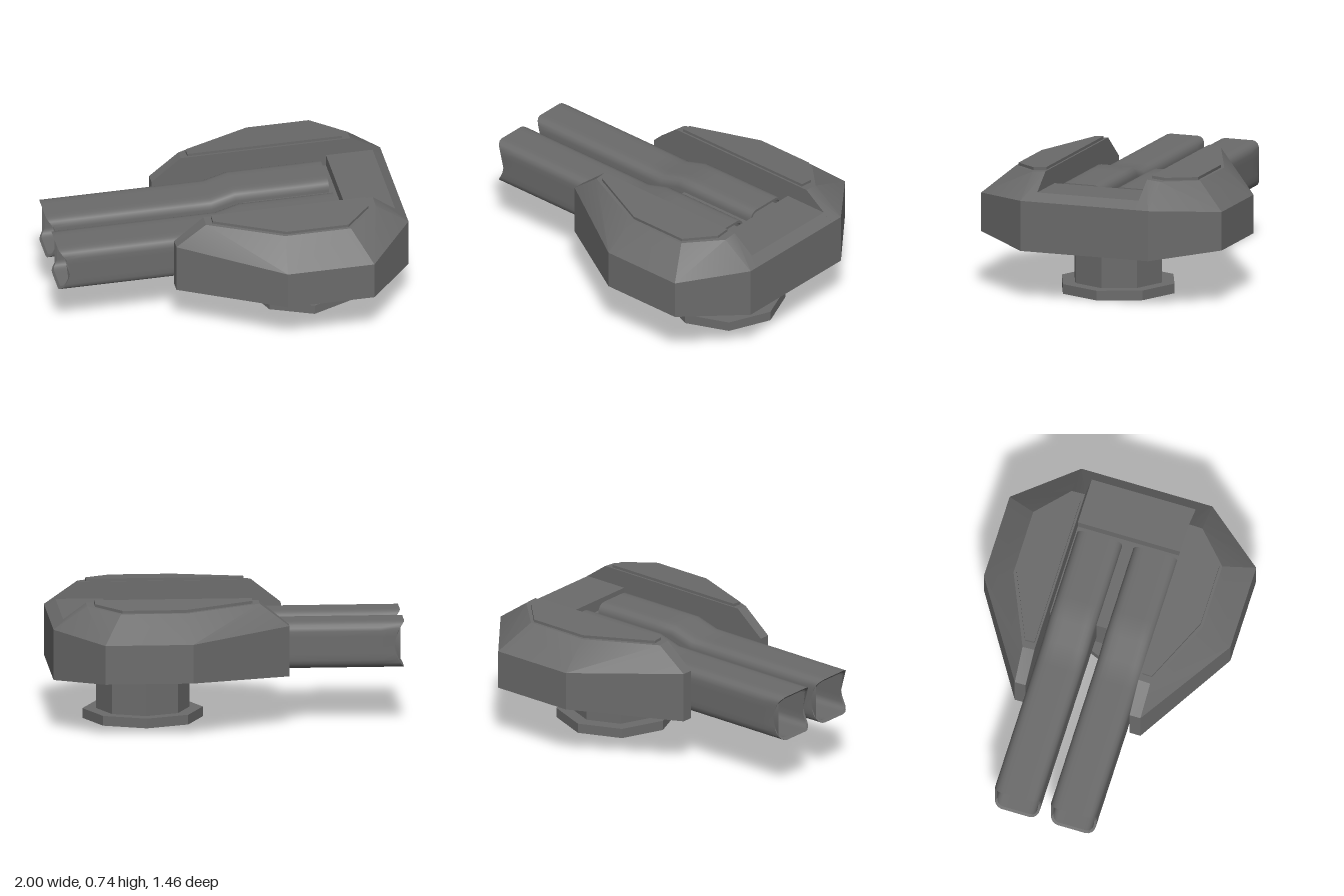
import * as THREE from 'three';
import { toCreasedNormals } from 'three/addons/utils/BufferGeometryUtils.js';

const flat = new THREE.MeshStandardMaterial({ color: 0x6b6b6b, flatShading: true });
const smooth = new THREE.MeshStandardMaterial({ color: 0x6b6b6b, side: THREE.DoubleSide });

function add(group, name, geometry, material) {
  const mesh = new THREE.Mesh(geometry, material);
  mesh.name = name;
  group.add(mesh);
  return mesh;
}

// Skin six-cornered loops from bottom to top; side = -1 mirrors across z
function loft(loops, side) {
  const pos = [];
  const tri = (a, b, c) => {
    for (const p of side > 0 ? [a, b, c] : [a, c, b]) pos.push(p[0], p[1], p[2] * side);
  };
  const quad = (a, b, c, d) => { tri(a, b, c); tri(a, c, d); };
  for (let k = 0; k < loops.length - 1; k++) {
    const lo = loops[k], hi = loops[k + 1];
    for (let i = 0; i < 6; i++) {
      const j = (i + 1) % 6;
      // The forward shoulder folds along the opposite diagonal
      if (i === 1) quad(lo[j], hi[j], hi[i], lo[i]);
      else quad(lo[i], lo[j], hi[j], hi[i]);
    }
  }
  // Caps fold along the line joining corners 1 and 4
  const b = loops[0], t = loops[loops.length - 1];
  quad(t[0], t[1], t[4], t[5]);
  quad(t[1], t[2], t[3], t[4]);
  quad(b[5], b[4], b[1], b[0]);
  quad(b[4], b[3], b[2], b[1]);
  const geo = new THREE.BufferGeometry();
  geo.setAttribute('position', new THREE.Float32BufferAttribute(pos, 3));
  return toCreasedNormals(geo, 0.42);
}

// Rounded-square outline of a barrel, with extra points along each side
function outline(half, radius) {
  const pts = [];
  const c = half - radius;
  for (let q = 0; q < 4; q++) {
    const turn = q * Math.PI / 2;
    const put = (x, y) => pts.push(new THREE.Vector2(x, y).rotateAround(new THREE.Vector2(), turn));
    for (const s of [-0.6, -0.2, 0.2, 0.6]) put(half, s * c);
    for (let i = 0; i <= 4; i++) {
      const a = i * Math.PI / 8;
      put(c + radius * Math.cos(a), c + radius * Math.sin(a));
    }
  }
  return pts;
}

// Hollow barrel along x with a scooped muzzle and a slightly raised breech
function barrelGeometry() {
  const half = 0.133;
  const shape = new THREE.Shape(outline(half, 0.05));
  shape.holes.push(new THREE.Path(outline(half - 0.014, 0.038)));
  const geo = new THREE.ExtrudeGeometry(shape, { depth: 1.63, steps: 12, bevelEnabled: false });
  geo.rotateY(Math.PI / 2);
  const p = geo.attributes.position;
  for (let i = 0; i < p.count; i++) {
    const x = p.getX(i), y = p.getY(i);
    if (x < 0.01) p.setX(i, 0.06 * (1 - (y / half) ** 2));
    if (x > 1.05 && y > 0.06) p.setY(i, y + 0.04);
  }
  geo.translate(-1, 0.452, 0);
  return toCreasedNormals(geo, 0.6);
}

export function createModel() {
  const model = new THREE.Group();

  // Octagonal pedestal
  const flange = add(model, 'pedestalFlange', new THREE.CylinderGeometry(0.342, 0.342, 0.056, 8), flat);
  flange.position.set(0.467, 0.028, 0);
  const column = add(model, 'pedestalColumn', new THREE.CylinderGeometry(0.265, 0.265, 0.29, 8), flat);
  column.position.set(0.467, 0.17, 0);

  // Central cradle with a shallow recess around the barrels
  const profile = [[0.13, 0.295], [1, 0.295], [1, 0.585], [0.94, 0.628], [0.67, 0.628], [0.67, 0.56], [0.13, 0.56]];
  const cradle = new THREE.ExtrudeGeometry(
    new THREE.Shape(profile.map(([x, y]) => new THREE.Vector2(x, y))),
    { depth: 0.616, bevelEnabled: false });
  cradle.translate(0, 0, -0.308);
  add(model, 'cradle', cradle, flat);

  // Side housings: vertical wall, sloped shoulder and gently tilted top
  const plan = [[-0.34, 0.308], [-0.34, 0.372], [0.23, 0.73], [0.73, 0.73], [1, 0.387], [1, 0.308]];
  const topPlan = [[-0.17, 0.308], [-0.17, 0.378], [0.25, 0.56], [0.63, 0.56], [0.81, 0.387], [0.81, 0.308]];
  const platePlan = [[-0.13, 0.32], [-0.13, 0.375], [0.26, 0.545], [0.62, 0.545], [0.765, 0.4], [0.765, 0.32]];
  const level = (pts, inner, outer) => pts.map(([x, z], i) => [x, i === 2 || i === 3 ? outer : inner, z]);
  const tilted = (pts, y) => pts.map(([x, z]) => [x, y - 0.09 * (z - 0.31), z]);
  const housing = [level(plan, 0.295, 0.33), level(plan, 0.585, 0.553), tilted(topPlan, 0.724)];
  const plate = [tilted(platePlan, 0.715), tilted(platePlan, 0.74)];

  const barrel = barrelGeometry();
  for (const side of [1, -1]) {
    const label = side > 0 ? 'front' : 'rear';
    add(model, label + 'Housing', loft(housing, side), smooth);
    add(model, label + 'TopPlate', loft(plate, side), smooth);
    add(model, label + 'Barrel', barrel, smooth).position.z = side * 0.166;
  }
  return model;
}
